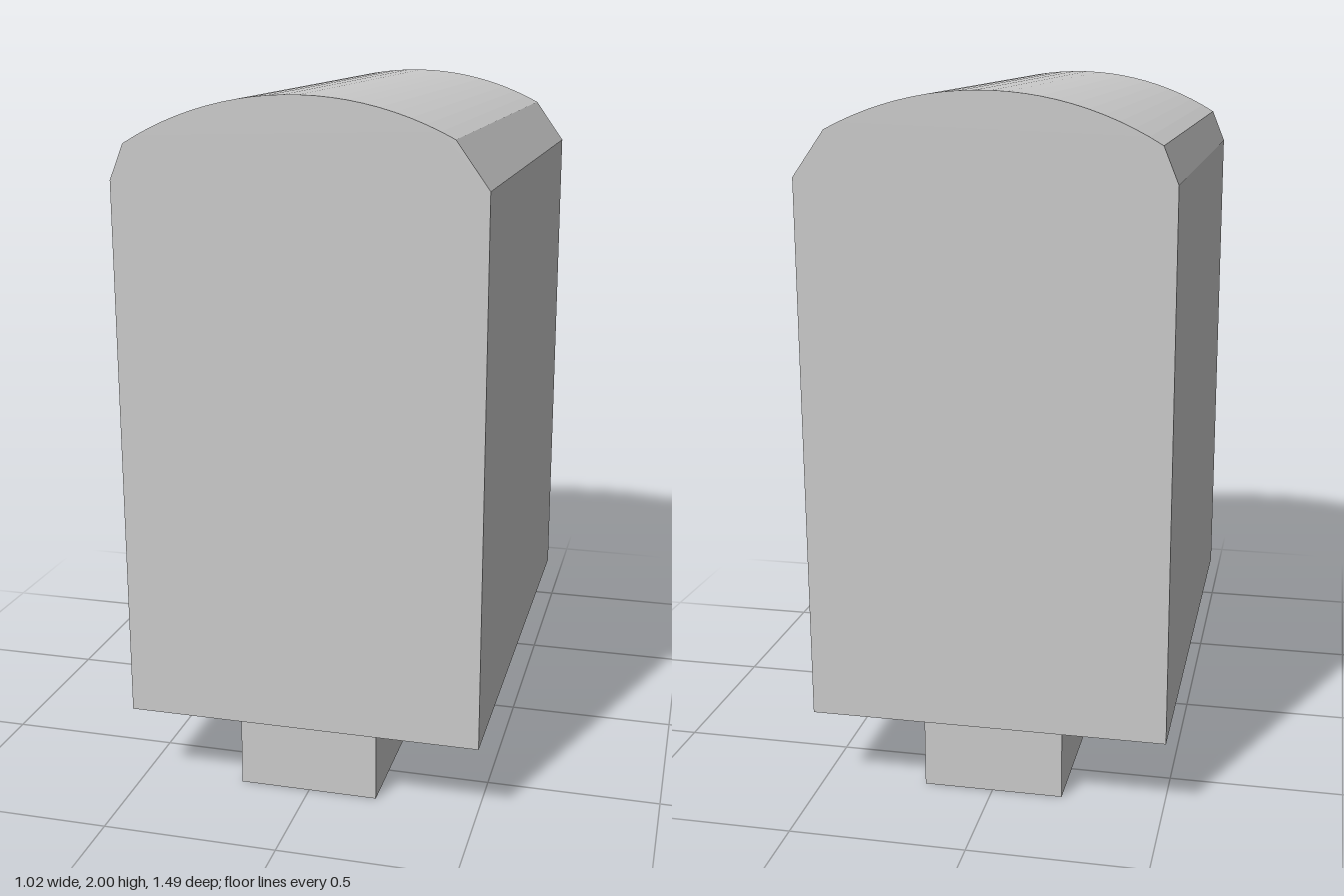
import * as THREE from 'three';

export function createModel() {
  const group = new THREE.Group();
  const material = new THREE.MeshStandardMaterial({ color: 0xcccccc, flatShading: true });

  // Body: straight walls, uneven shoulders and a shallow arched roof
  const halfWidth = 0.51, halfDepth = 0.745;
  const bottom = 0.235, eaves = 1.77, radius = 0.9;
  const profile = new THREE.Shape();
  profile.moveTo(-halfWidth, bottom);
  profile.lineTo(halfWidth, bottom);
  profile.lineTo(halfWidth, eaves);
  const start = Math.asin(0.42 / radius), end = -Math.asin(0.47 / radius);
  const steps = 22;
  for (let i = 0; i <= steps; i++) {
    const a = start + (end - start) * i / steps;
    profile.lineTo(radius * Math.sin(a), 2 - radius + radius * Math.cos(a));
  }
  profile.lineTo(-halfWidth, eaves);
  profile.closePath();
  const bodyGeometry = new THREE.ExtrudeGeometry(profile, { depth: 2 * halfDepth, bevelEnabled: false });
  bodyGeometry.translate(0, 0, -halfDepth);
  const body = new THREE.Mesh(bodyGeometry, material);
  body.name = 'archedBody';
  group.add(body);

  // Narrow rectangular foot under the body
  const foot = new THREE.Mesh(new THREE.BoxGeometry(0.405, bottom, 1.34), material);
  foot.position.set(-0.002, bottom / 2, 0);
  foot.name = 'foot';
  group.add(foot);

  return group;
}
